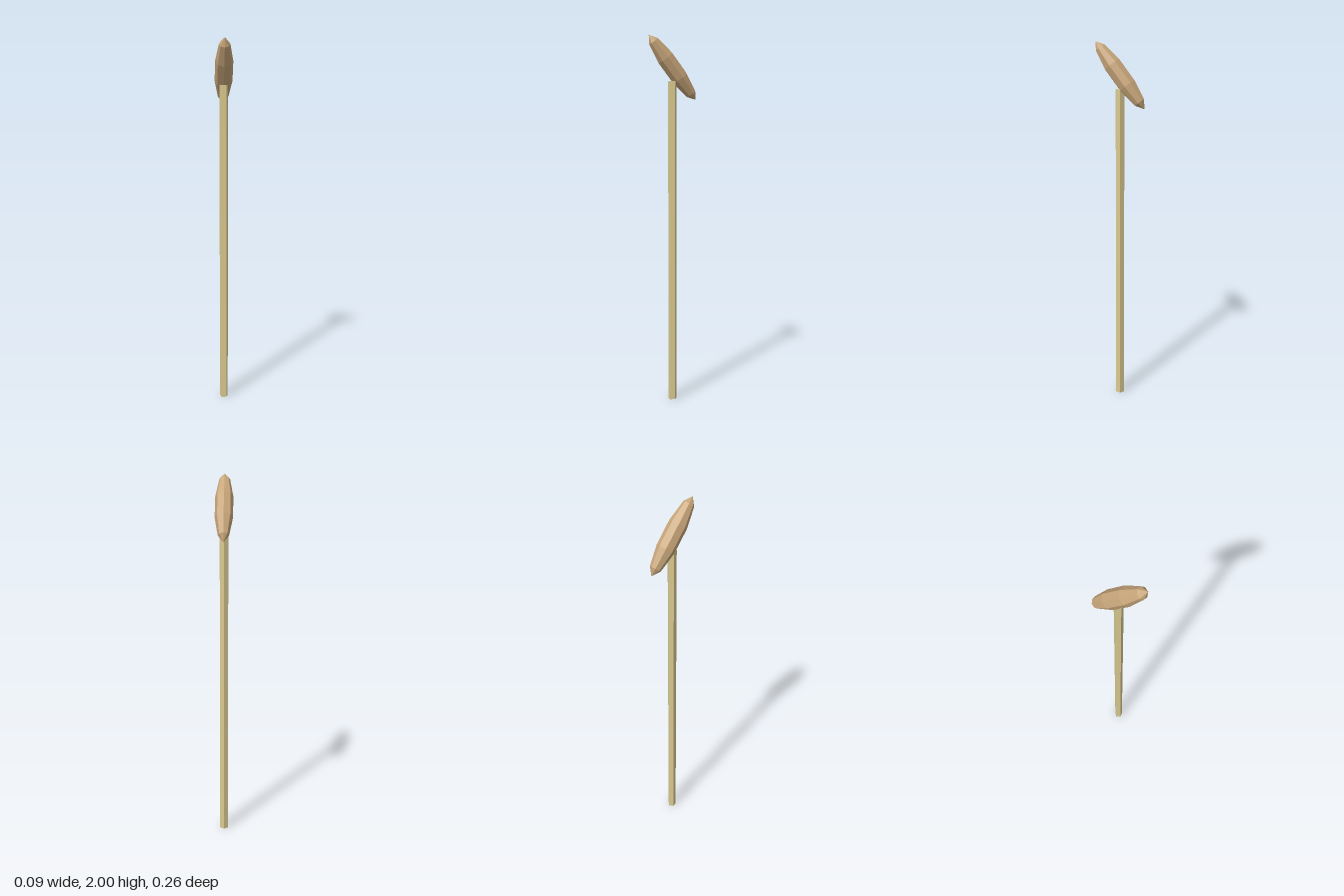
import * as THREE from 'three';

export function createModel() {
  const model = new THREE.Group();

  const add = (name, geometry, color) => {
    const material = new THREE.MeshStandardMaterial({ color, flatShading: true });
    const mesh = new THREE.Mesh(geometry, material);
    mesh.name = name;
    model.add(mesh);
    return mesh;
  };

  // Five-sided stem with one edge facing the back
  const stemHeight = 1.765;
  const stem = add('stem',
    new THREE.CylinderGeometry(0.0237, 0.0237, stemHeight, 5, 1, false, Math.PI), 0xd9c98f);
  stem.position.y = stemHeight / 2;

  // Faceted, elongated seed head leaning forward on top of the stem
  const head = add('seedHead', new THREE.SphereGeometry(1, 8, 5), 0xc8a67a);
  head.scale.set(0.0495, 0.211, 0.0495);
  head.rotation.x = Math.atan2(0.132, 0.165);
  head.position.y = 1.835;

  return model;
}
